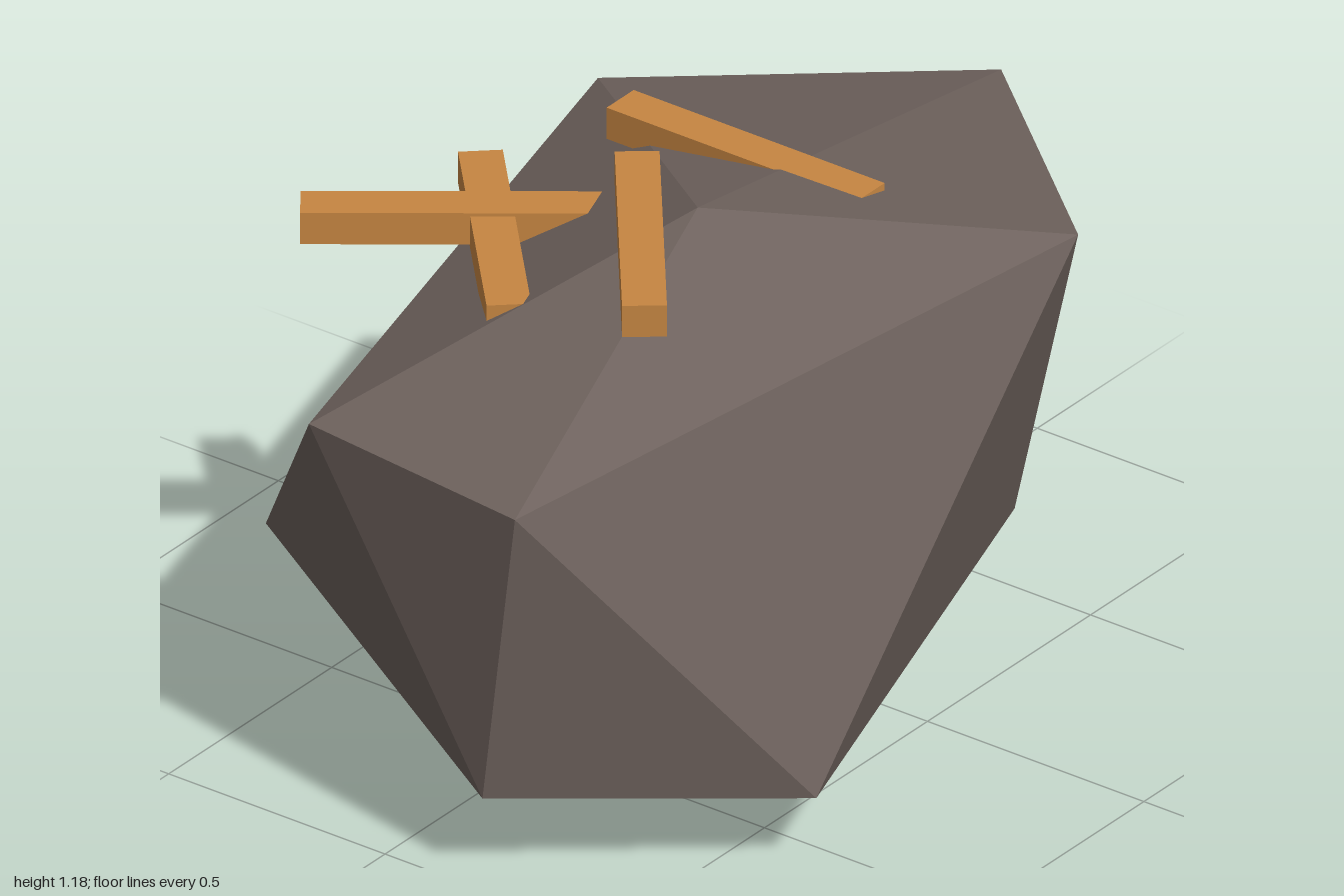
import * as THREE from 'three';

// Faceted boulder: a top point, an upper ring, a staggered lower ring and a bottom point.
// Rings run clockwise seen from above, with lower[i] between upper[i - 1] and upper[i].
function boulder(name, top, upper, lower, bottom, material) {
  const pos = [];
  const face = (...corners) => corners.forEach((p) => pos.push(...p));
  const n = upper.length;
  for (let i = 0; i < n; i++) {
    const j = (i + 1) % n;
    face(top, upper[i], upper[j]);
    face(upper[i], lower[j], upper[j]);
    face(upper[i], lower[i], lower[j]);
    face(bottom, lower[j], lower[i]);
  }
  const geometry = new THREE.BufferGeometry();
  geometry.setAttribute('position', new THREE.Float32BufferAttribute(pos, 3));
  geometry.computeVertexNormals();
  const mesh = new THREE.Mesh(geometry, material);
  mesh.name = name;
  return mesh;
}

export function createModel() {
  const group = new THREE.Group();
  group.name = 'rocksWithPlanks';
  const rock = new THREE.MeshStandardMaterial({ color: 0x6e625d, flatShading: true });
  rock.name = 'brownGreyRock';
  const wood = new THREE.MeshStandardMaterial({ color: 0xc68642 });
  wood.name = 'lightWood';

  // Large rock
  group.add(boulder('largeRock',
    [-0.32, 1.135, 0.21],
    [[-1, 0.81, 0.3], [0.17, 1.03, 0.72], [0.77, 0.895, 0.09], [0.29, 0.9, -0.48], [-0.955, 0.82, -0.21]],
    [[-0.98, 0.18, 0.21], [-0.58, 0.16, 0.68], [0.36, 0.265, 0.43], [0.45, 0.45, -0.29], [-0.41, 0.19, -0.72]],
    [-0.2, 0, 0.175], rock));

  // Small rock leaning into its side
  group.add(boulder('smallRock',
    [0.6, 0.767, -0.135],
    [[0.58, 0.51, 0.155], [1, 0.57, -0.26], [0.66, 0.566, -0.55], [0.35, 0.6, -0.42], [0.28, 0.6, 0]],
    [[0.45, 0.23, 0.12], [0.87, 0.235, 0.03], [0.776, 0.295, -0.39], [0.43, 0.33, -0.51], [0.25, 0.24, -0.12]],
    [0.55, 0.045, -0.18], rock));

  // Loose planks on top: centre x, y, z and heading
  const plank = new THREE.BoxGeometry(0.58, 0.066, 0.083);
  [
    [-0.505, 1.144, 0.218, Math.atan2(0.36, 0.455)],
    [-0.38, 0.967, -0.3, Math.atan2(-0.42, 0.315)],
    [-0.405, 0.96, -0.195, Math.atan2(0.39, 0.43)],
    [0.013, 1.036, 0.07, Math.PI / 2],
  ].forEach(([x, y, z, turn], i) => {
    const mesh = new THREE.Mesh(plank, wood);
    mesh.name = `plank${i + 1}`;
    mesh.position.set(x, y, z);
    mesh.rotation.y = turn;
    group.add(mesh);
  });
  return group;
}
